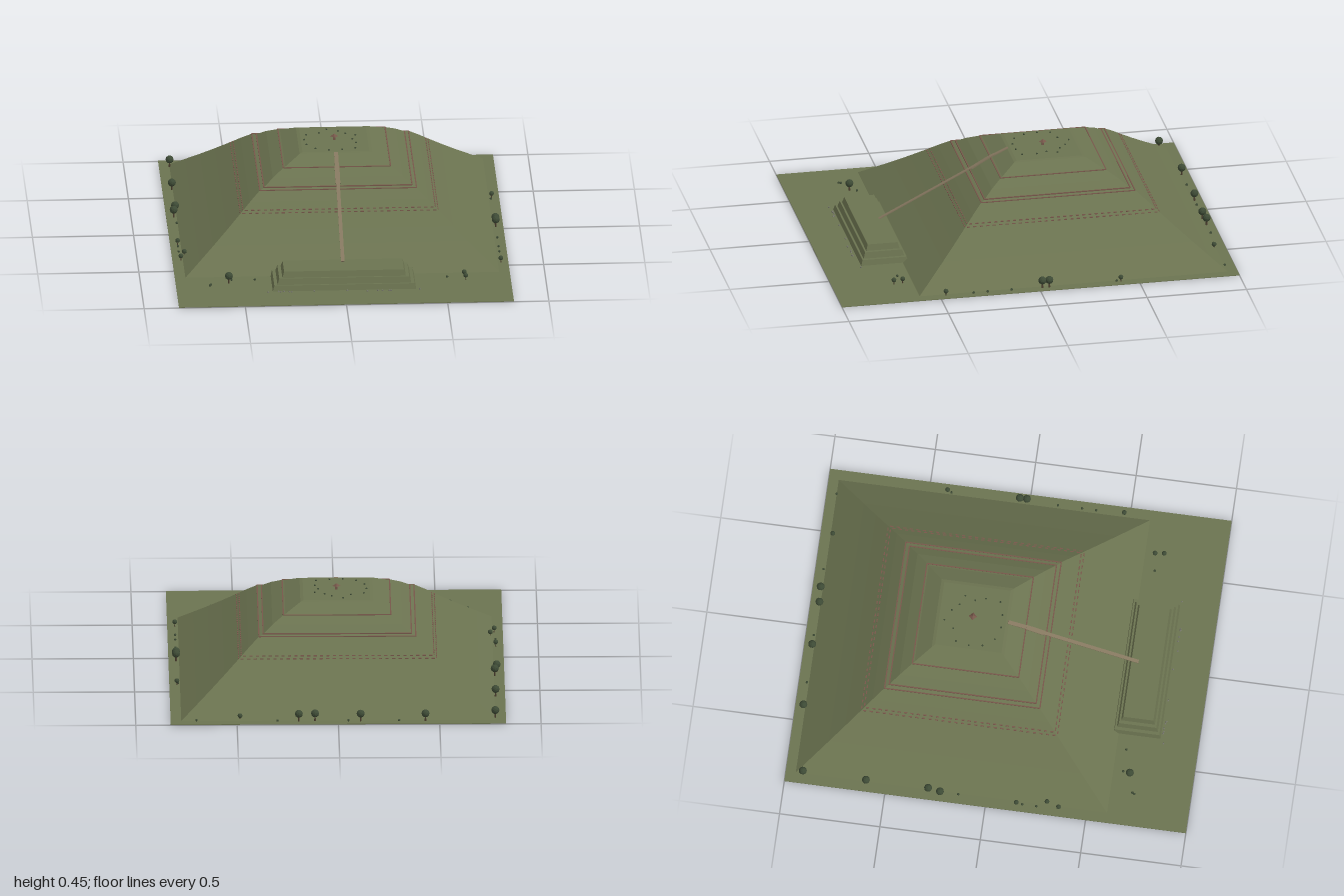
import * as THREE from 'three';

const mat = (color) => new THREE.MeshStandardMaterial({ color, flatShading: true });
const grass = mat(0x6b7350), earth = mat(0x54453a), brick = mat(0x76574a);
const plank = mat(0x85775f), leaf = mat(0x3d4a35), trunk = mat(0x4a3d2e), stone = mat(0x77786c);
const MZ = -0.175; // centre of the mound in z

function add(parent, name, geo, material, x = 0, y = 0, z = 0) {
  const mesh = new THREE.Mesh(geo, material);
  mesh.name = name;
  mesh.position.set(x, y, z);
  parent.add(mesh);
  return mesh;
}

// Box whose top is drawn in on all sides
function frustum(w, d, h, inset) {
  const g = new THREE.BoxGeometry(w, h, d), p = g.attributes.position;
  for (let i = 0; i < p.count; i++) {
    if (p.getY(i) > 0) {
      p.setX(i, p.getX(i) - Math.sign(p.getX(i)) * inset);
      p.setZ(i, p.getZ(i) - Math.sign(p.getZ(i)) * inset);
    }
  }
  g.computeVertexNormals();
  return g;
}

// Flat beam running from one (z, y) to another
function beam(parent, name, w, t, z0, y0, z1, y1) {
  const len = Math.hypot(z1 - z0, y1 - y0);
  const m = add(parent, name, new THREE.BoxGeometry(w, t, len), plank, 0, (y0 + y1) / 2, (z0 + z1) / 2);
  m.rotation.x = Math.atan2(y1 - y0, z0 - z1);
}

function random(seed) {
  return () => (seed = (seed * 16807) % 2147483647) / 2147483647;
}

// Square mound: half-width and height pairs swept round four corners
function mound(root) {
  const profile = [[0.775, 0.004], [0.7, 0.06], [0.63, 0.113], [0.56, 0.168], [0.49, 0.225], [0.44, 0.267],
    [0.39, 0.306], [0.368, 0.313], [0.32, 0.347], [0.268, 0.376], [0.255, 0.38], [0.18, 0.417], [0.165, 0.42], [0, 0.42]];
  const g = new THREE.LatheGeometry(profile.map(([r, y]) => new THREE.Vector2(r * Math.SQRT2, y)), 4);
  g.rotateY(Math.PI / 4);
  add(root, 'mound', g, grass, 0, 0, MZ);

  // Brick courses edging the ledges, and broken courses lower down
  const courses = new THREE.Group();
  courses.name = 'brickCourses';
  courses.position.z = MZ;
  root.add(courses);
  const solid = [[0.387, 0.307], [0.366, 0.315], [0.265, 0.377]];
  const broken = [[0.488, 0.227], [0.475, 0.238]];
  for (let side = 0; side < 4; side++) {
    const face = new THREE.Group();
    face.rotation.y = side * Math.PI / 2;
    courses.add(face);
    for (const [r, y] of solid) add(face, 'brickCourse', new THREE.BoxGeometry(2 * r, 0.005, 0.006), brick, 0, y, r);
    for (const [r, y] of broken) {
      const n = 30;
      for (let i = 0; i < n; i++) {
        add(face, 'brick', new THREE.BoxGeometry(0.016, 0.004, 0.006), brick, ((i + 0.5) / n * 2 - 1) * r, y, r);
      }
    }
  }
}

// Three-tier platform in front of the mound
function platform(root) {
  const g = new THREE.Group();
  g.name = 'frontPlatform';
  root.add(g);
  for (let i = 0; i < 3; i++) {
    add(g, 'platformTier', frustum(0.71 - i * 0.05, 0.24 - i * 0.036, 0.03, 0.009), grass,
      0, 0.019 + i * 0.03 - 0.003, 0.69);
  }
}

function tree(root, x, z, s) {
  const g = new THREE.Group();
  g.name = 'tree';
  g.position.set(x, 0.004, z);
  g.scale.setScalar(s);
  root.add(g);
  add(g, 'trunk', new THREE.CylinderGeometry(0.003, 0.005, 0.03, 6), trunk, 0, 0.015, 0);
  add(g, 'crown', new THREE.IcosahedronGeometry(0.02, 1), leaf, 0, 0.039, 0);
}

export function createModel() {
  const root = new THREE.Group();
  root.name = 'steppedMound';
  add(root, 'ground', new THREE.BoxGeometry(1.655, 0.003, 2), grass, 0, 0.0025, 0);
  add(root, 'earthBase', new THREE.BoxGeometry(1.55, 0.001, 1.55), earth, 0, 0.0005, MZ);
  mound(root);
  platform(root);

  // Walkway from the platform up the front slope
  beam(root, 'walkway', 0.018, 0.004, 0.65, 0.094, 0.12, 0.362);
  beam(root, 'upperWalkway', 0.024, 0.006, 0.185, 0.326, 0.09, 0.38);
  beam(root, 'upperWalkway', 0.02, 0.006, 0.09, 0.38, 0, 0.419);

  // Small marker on the summit
  const marker = new THREE.Group();
  marker.name = 'summitMarker';
  marker.position.set(0, 0.42, MZ);
  root.add(marker);
  add(marker, 'markerPost', new THREE.BoxGeometry(0.012, 0.018, 0.012), brick, 0, 0.009, 0);
  add(marker, 'markerRoof', new THREE.ConeGeometry(0.02, 0.014, 4), brick, 0, 0.024, 0);

  // Trees as x, z
  const large = [[-0.43, -0.96], [-0.11, -0.96], [0.115, -0.955], [0.195, -0.96], [-0.775, -0.915], [-0.78, -0.6],
    [-0.78, -0.29], [-0.79, -0.23], [0.79, -0.05], [0.79, -0.015], [-0.565, 0.685]];
  const medium = [[0.485, -0.94], [-0.79, 0.15], [-0.785, 0.36], [0.79, 0.47], [0.79, -0.41], [0.6, 0.65],
    [0.605, 0.695], [-0.765, 0.3]];
  for (const [x, z] of large) tree(root, x, z, 1);
  for (const [x, z] of medium) tree(root, x, z, 0.6);

  // Low bushes round the foot and stones on the summit and by the platform
  const rnd = random(41);
  const bush = new THREE.IcosahedronGeometry(0.007, 0);
  const bushes = [[0.515, 0.66], [-0.435, 0.65], [-0.55, 0.65], [-0.655, 0.71], [-0.66, 0.72],
    [-0.79, 0.18], [-0.79, 0.25], [0.79, 0.26], [0.79, 0.14], [0.79, 0.33], [0.785, -0.39], [-0.78, -0.14],
    [-0.3, -0.96], [-0.05, -0.96], [0.3, -0.96], [0.7, -0.95]];
  for (const [x, z] of bushes) add(root, 'bush', bush, leaf, x, 0.008, z);
  const pebble = new THREE.DodecahedronGeometry(0.005, 0);
  for (let i = 0; i < 14; i++) {
    const a = i / 14 * Math.PI * 2, r = 0.09 + rnd() * 0.07;
    add(root, 'summitStone', pebble, leaf, Math.cos(a) * r, 0.422, MZ + Math.sin(a) * r);
  }
  for (let i = 0; i < 14; i++) {
    add(root, 'fallenStone', pebble, stone, (rnd() - 0.5) * 0.85, 0.006, 0.815 + rnd() * 0.015);
  }
  return root;
}
